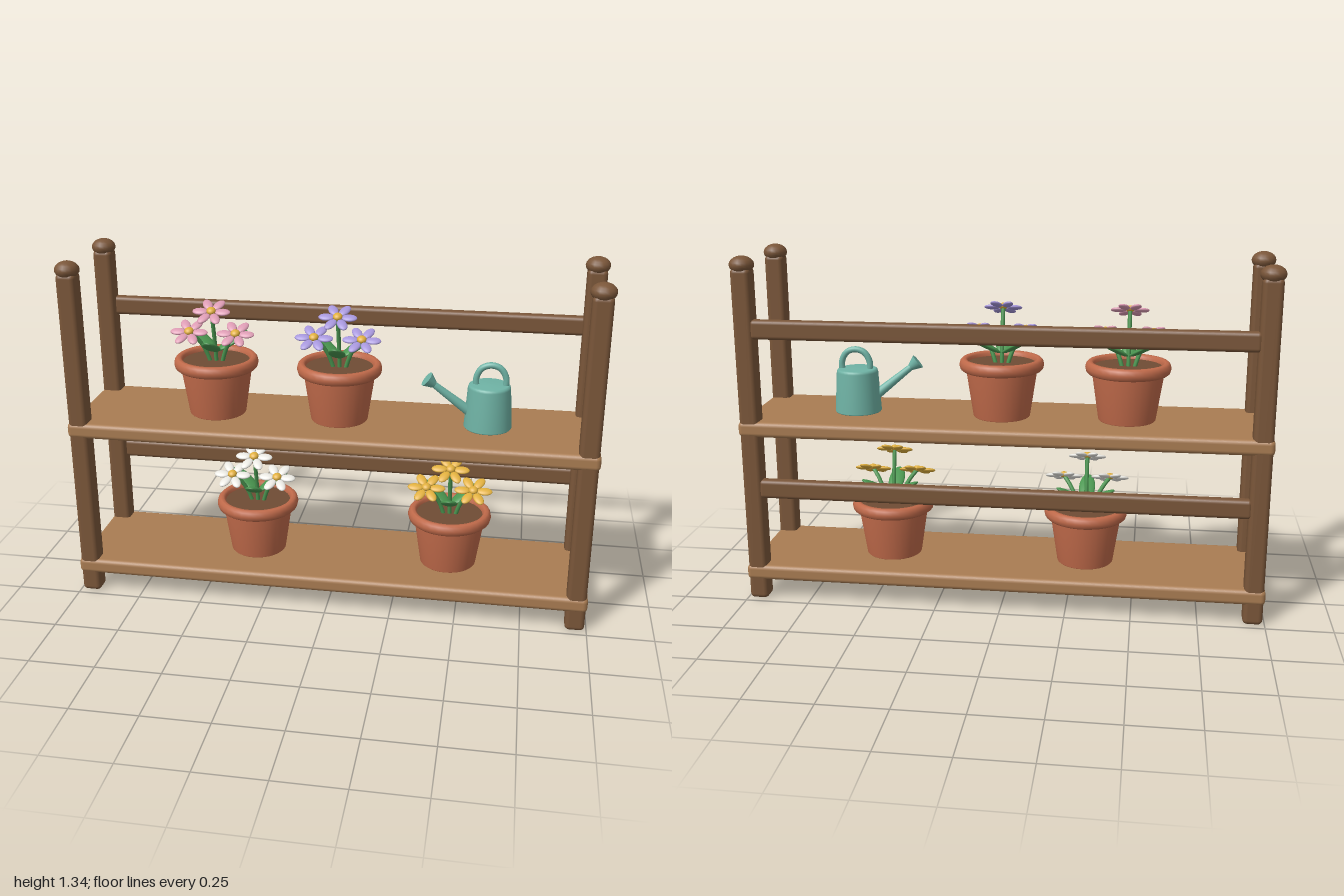
import * as THREE from 'three';
import { RoundedBoxGeometry } from 'three/addons/geometries/RoundedBoxGeometry.js';

function material(name, color) {
  const m = new THREE.MeshStandardMaterial({ color });
  m.name = name;
  return m;
}

const mats = {
  shelfWood: material('shelf wood', 0xa97c52),
  frameWood: material('frame wood', 0x7a5639),
  clay: material('terracotta', 0xc06a4a),
  soil: material('soil', 0x6f4c34),
  leaf: material('leaf green', 0x4a9650),
  pink: material('pink', 0xdb9ab2),
  purple: material('purple', 0xa595da),
  white: material('white', 0xf0efe9),
  yellow: material('yellow', 0xdfae3c),
  teal: material('teal', 0x6fb3a5),
};

function add(parent, name, geometry, mat, x = 0, y = 0, z = 0) {
  const mesh = new THREE.Mesh(geometry, mat);
  mesh.name = name;
  mesh.position.set(x, y, z);
  parent.add(mesh);
  return mesh;
}

function subGroup(parent, name, x = 0, y = 0, z = 0) {
  const g = new THREE.Group();
  g.name = name;
  g.position.set(x, y, z);
  parent.add(g);
  return g;
}

const lathe = (points, segments = 32) =>
  new THREE.LatheGeometry(points.map(([r, y]) => new THREE.Vector2(r, y)), segments);

const ball = new THREE.SphereGeometry(1, 16, 10);

// Posts, finials, shelves and back rails
function buildStand(parent) {
  const stand = subGroup(parent, 'stand');
  const post = new RoundedBoxGeometry(0.074, 1.3, 0.074, 3, 0.018);
  for (const x of [-0.955, 0.955]) {
    for (const z of [-0.192, 0.192]) {
      add(stand, 'post', post, mats.frameWood, x, 0.65, z);
      add(stand, 'finial', ball, mats.frameWood, x, 1.31, z).scale.set(0.046, 0.033, 0.046);
    }
  }
  const shelf = new RoundedBoxGeometry(1.995, 0.06, 0.464, 3, 0.018);
  const rail = new RoundedBoxGeometry(1.86, 0.073, 0.045, 3, 0.015);
  for (const y of [0.11, 0.69]) add(stand, 'shelf', shelf, mats.shelfWood, 0, y, 0);
  for (const y of [0.453, 1.073]) add(stand, 'backRail', rail, mats.frameWood, 0, y, -0.204);
}

// Clay pot with a rolled rim
const potBody = lathe([[0, 0], [0.104, 0], [0.109, 0.005], [0.137, 0.19], [0.125, 0.2]]);
const potRim = lathe([
  [0.128, 0.183], [0.15, 0.183], [0.158, 0.19], [0.162, 0.205], [0.158, 0.22],
  [0.15, 0.228], [0.138, 0.228], [0.13, 0.221], [0.128, 0.205], [0.128, 0.183],
]);
const soilDisc = new THREE.CylinderGeometry(0.13, 0.125, 0.02, 32);

function buildBloom(parent, petalMat, x, y, z) {
  const bloom = subGroup(parent, 'bloom', x, y, z);
  bloom.rotation.x = 0.47;
  for (let i = 0; i < 6; i++) {
    const a = (i * Math.PI) / 3;
    const petal = add(bloom, 'petal', ball, petalMat, 0.043 * Math.cos(a), 0, 0.043 * Math.sin(a));
    petal.scale.set(0.03, 0.008, 0.018);
    petal.rotation.y = -a;
  }
  add(bloom, 'bloomCentre', ball, mats.yellow, 0, 0.005, 0).scale.set(0.018, 0.012, 0.018);
}

function buildPlant(parent, x, y, petalMat) {
  const plant = subGroup(parent, 'pottedPlant', x, y, 0);
  add(plant, 'potBody', potBody, mats.clay);
  add(plant, 'potRim', potRim, mats.clay);
  add(plant, 'soil', soilDisc, mats.soil, 0, 0.2, 0);

  // Three stems, each ending in a tilted bloom
  for (const [bx, by] of [[-0.09, 0.332], [0, 0.415], [0.09, 0.332]]) {
    const path = new THREE.QuadraticBezierCurve3(
      new THREE.Vector3(bx * 0.25, 0.2, 0),
      new THREE.Vector3(bx * 0.5, 0.29, 0.008),
      new THREE.Vector3(bx, by, 0.045));
    add(plant, 'stem', new THREE.TubeGeometry(path, 10, 0.008, 8), mats.leaf);
    buildBloom(plant, petalMat, bx, by, 0.045);
  }

  // Three leaves spread around the stems
  for (let i = 0; i < 3; i++) {
    const holder = subGroup(plant, 'leafHolder', 0, 0.245, 0);
    holder.rotation.y = -Math.PI / 2 + (i * Math.PI * 2) / 3;
    const leaf = add(holder, 'leaf', ball, mats.leaf, 0.066, 0.037, 0);
    leaf.scale.set(0.07, 0.011, 0.032);
    leaf.rotation.z = 0.5;
  }
}

// Watering can with arched handle and flared spout
function buildCan(parent) {
  const can = subGroup(parent, 'wateringCan', 0.585, 0.72, 0);
  add(can, 'canBody', lathe([
    [0, 0], [0.087, 0], [0.09, 0.004], [0.08, 0.158], [0.077, 0.166], [0.07, 0.17], [0, 0.172],
  ]), mats.teal);

  const arch = new THREE.CatmullRomCurve3([
    [-0.048, 0.15], [-0.05, 0.195], [-0.03, 0.232], [0.005, 0.244],
    [0.04, 0.232], [0.06, 0.195], [0.058, 0.15],
  ].map(([x, y]) => new THREE.Vector3(x, y, 0)));
  add(can, 'handle', new THREE.TubeGeometry(arch, 28, 0.012, 10), mats.teal);

  const spout = subGroup(can, 'spout', -0.06, 0.055, 0.012);
  spout.rotation.set(0, 0.19, 0.9);
  add(spout, 'spoutPipe', new THREE.CylinderGeometry(0.012, 0.02, 0.2, 16), mats.teal, 0, 0.1, 0);
  add(spout, 'spoutRose', new THREE.CylinderGeometry(0.03, 0.014, 0.036, 20), mats.teal, 0, 0.204, 0);
}

export function createModel() {
  const model = new THREE.Group();
  model.name = 'plantStand';
  buildStand(model);
  buildPlant(model, -0.461, 0.718, mats.pink);
  buildPlant(model, 0.019, 0.718, mats.purple);
  buildPlant(model, -0.312, 0.138, mats.white);
  buildPlant(model, 0.456, 0.138, mats.yellow);
  buildCan(model);
  return model;
}
